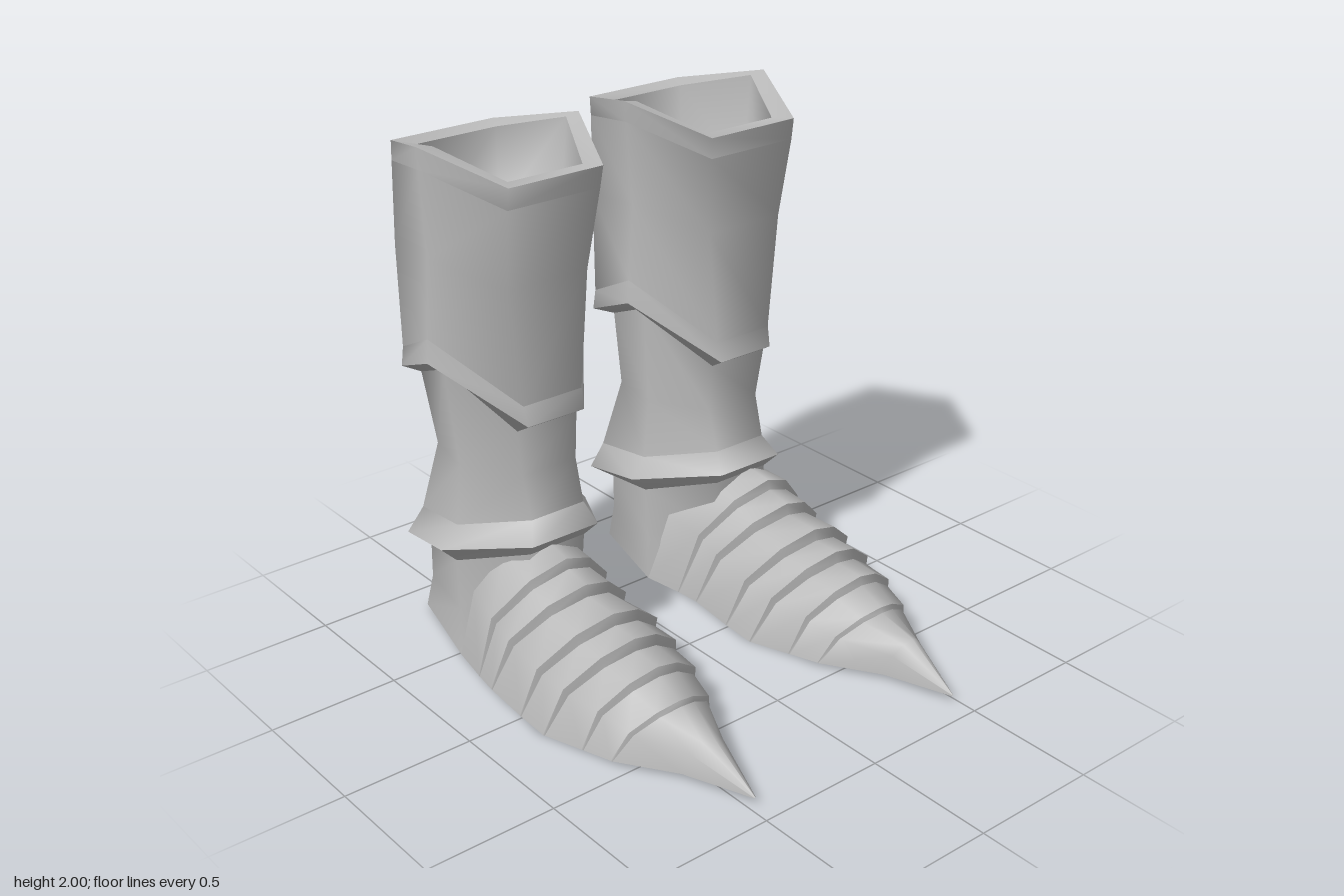
import * as THREE from 'three';

const steel = new THREE.MeshStandardMaterial({ color: 0xbababa });
steel.name = 'steel grey';

// Smooth skin through successive cross-sections; side = -1 mirrors it
function loft(rings, closed, side) {
  const n = rings[0].length, pos = [], idx = [];
  for (const r of rings) for (const [x, y, z] of r) pos.push(x * side, y, z);
  const quads = closed ? n : n - 1;
  for (let i = 0; i < rings.length - 1; i++) {
    for (let j = 0; j < quads; j++) {
      const a = i * n + j, b = i * n + (j + 1) % n, d = a + n, c = b + n;
      if (side > 0) idx.push(a, d, c, a, c, b);
      else idx.push(a, c, d, a, b, c);
    }
  }
  const g = new THREE.BufferGeometry();
  g.setAttribute('position', new THREE.Float32BufferAttribute(pos, 3));
  g.setIndex(idx);
  g.computeVertexNormals();
  return g;
}

// Six-sided leg section: side x limits, front taper, front/back z, side/front/back y
function hex(xi, xo, f, zf, zb, ys, yf, yb) {
  const w = xo - xi, zs = -0.49, b = 0.18;
  return [
    [xo, ys, zs], [xo - b * w, yb, zb], [xi + b * w, yb, zb],
    [xi, ys, zs], [xi + f * w, yf, zf], [xo - f * w, yf, zf],
  ];
}

// Sole outline: z, inner x, outer x, y
const OUTLINE = [
  [-0.87, 0.28, 0.62, 0.015], [-0.49, 0.19, 0.71, 0.005], [-0.22, 0.195, 0.775, 0.03],
  [0.12, 0.18, 0.785, 0.005], [0.44, 0.265, 0.705, 0.025], [0.67, 0.4, 0.56, 0.03],
  [0.915, 0.472, 0.478, 0.035],
];
function soleAt(z) {
  let i = 0;
  while (i < OUTLINE.length - 2 && z > OUTLINE[i + 1][0]) i++;
  const a = OUTLINE[i], b = OUTLINE[i + 1];
  const t = THREE.MathUtils.clamp((z - a[0]) / (b[0] - a[0]), 0, 1);
  return [1, 2, 3].map((k) => THREE.MathUtils.lerp(a[k], b[k], t));
}

// Foot arch: position across, height share, sweep-back share
const ARCH = [
  [0, 0, 1], [0.05, 0.58, 0.55], [0.27, 0.87, 0.22], [0.5, 1, 0],
  [0.73, 0.87, 0.22], [0.95, 0.58, 0.55], [1, 0, 1],
];
function arch(z, top, sweep, shrink = 0) {
  return ARCH.map(([t, h, s]) => {
    const pz = z - sweep * s;
    const [xi, xo, y0] = soleAt(pz);
    const u = 0.5 + (t - 0.5) * (h > 0 ? 1 - shrink : 1);
    return [xi + (xo - xi) * u, y0 + (top - y0) * h, pz];
  });
}

function makeBoot(side) {
  const boot = new THREE.Group();
  const add = (name, rings, closed = true) => {
    const m = new THREE.Mesh(loft(rings, closed, side), steel);
    m.name = name;
    boot.add(m);
  };

  // Shin cuff with hollow top
  const bowlEnd = hex(0.43, 0.431, 0.2, -0.49, -0.49, 1.5, 1.5, 1.5);
  const bowlMid = hex(0.19, 0.67, 0.24, -0.27, -0.75, 1.62, 1.6, 1.6);
  const rimIn = hex(0.155, 0.705, 0.22, -0.235, -0.785, 1.99, 1.905, 1.905);
  const rimOut = hex(0.1, 0.77, 0.21, -0.165, -0.855, 2.0, 1.91, 1.915);
  const cuffTop = hex(0.11, 0.767, 0.21, -0.175, -0.86, 1.92, 1.83, 1.84);
  const cuffMid = hex(0.135, 0.755, 0.23, -0.22, -0.885, 1.6, 1.53, 1.52);
  const cuffLow = hex(0.112, 0.773, 0.31, -0.218, -0.86, 1.31, 1.09, 1.13);
  const cuffLip = hex(0.105, 0.78, 0.32, -0.2, -0.87, 1.22, 1.015, 1.05);
  add('cuffLining', [bowlEnd, bowlMid, rimIn]);
  add('cuffRim', [rimIn, rimOut]);
  add('cuffTopBand', [rimOut, cuffTop]);
  add('cuffWall', [cuffTop, cuffMid, cuffLow]);
  add('cuffLowerBand', [cuffLow, cuffLip]);

  // Ankle tube with flared lip
  const ankleTop = hex(0.18, 0.715, 0.26, -0.25, -0.8, 1.18, 0.985, 1.04);
  const ankleMid = hex(0.2, 0.67, 0.25, -0.265, -0.77, 0.79, 0.795, 0.75);
  const ankleLow = hex(0.175, 0.695, 0.28, -0.22, -0.88, 0.555, 0.635, 0.44);
  const ankleLip = hex(0.115, 0.77, 0.28, -0.165, -0.92, 0.475, 0.56, 0.33);
  const heelTop = hex(0.18, 0.705, 0.27, -0.22, -0.82, 0.41, 0.5, 0.34);
  add('cuffUnderside', [cuffLip, ankleTop]);
  add('ankle', [ankleTop, ankleMid, ankleLow]);
  add('ankleBand', [ankleLow, ankleLip]);
  add('ankleUnderside', [ankleLip, heelTop]);

  // Heel
  add('heel', [
    heelTop,
    hex(0.187, 0.7, 0.25, -0.25, -0.83, 0.2, 0.3, 0.16),
    hex(0.19, 0.71, 0.2, -0.25, -0.87, 0.005, 0.03, 0.015),
  ]);

  // Overlapping foot plates: front z, front top, next plate's start top, sweep
  const plates = [
    [-0.105, 0.505, 0.465, 0.2], [0.005, 0.445, 0.4, 0.2], [0.165, 0.4, 0.355, 0.17],
    [0.285, 0.355, 0.31, 0.15], [0.415, 0.305, 0.27, 0.11], [0.53, 0.225, 0.205, 0.1],
  ];
  let start = arch(-0.3, 0.53, 0.19, 0.04);
  for (const [z, top, next, sweep] of plates) {
    const front = arch(z, top, sweep);
    const step = arch(z + 0.008, next, sweep, 0.06);
    add('footPlate', [start, front], false);
    add('footPlateEdge', [front, step], false);
    start = step;
  }

  // Pointed toe
  add('toe', [start, arch(0.7, 0.17, 0.05), arch(0.915, 0.04, 0)], false);

  // Sole
  add('sole', OUTLINE.map(([z, xi, xo, y]) => [[xo, y, z], [xi, y, z]]), false);
  return boot;
}

export function createModel() {
  const model = new THREE.Group();
  for (const [name, side] of [['leftBoot', 1], ['rightBoot', -1]]) {
    const boot = makeBoot(side);
    boot.name = name;
    model.add(boot);
  }
  return model;
}
